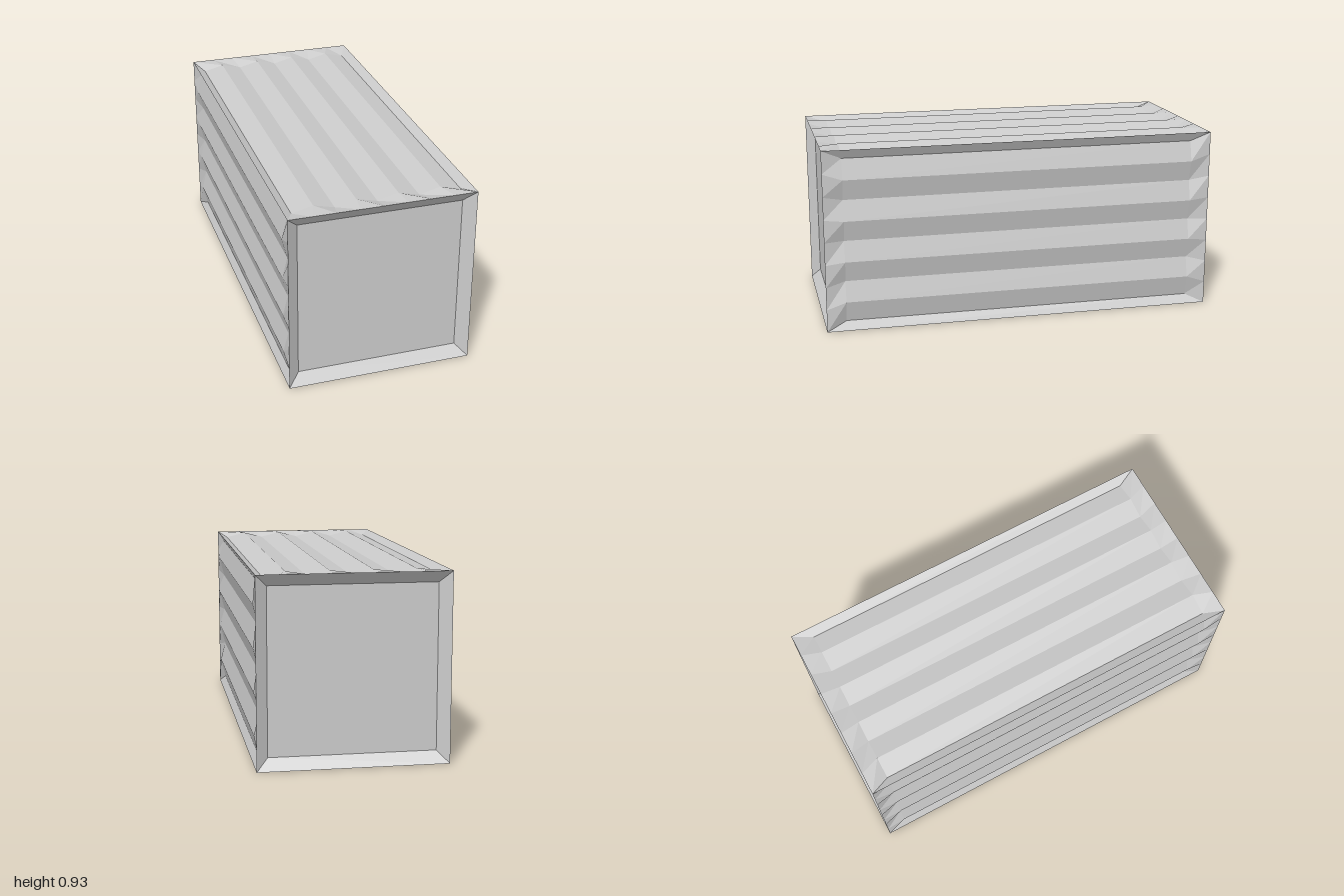
import * as THREE from 'three';

const H = 0.4625; // half of the square cross-section
const L = 1;      // half of the length
const material = new THREE.MeshStandardMaterial({ color: 0xcccccc, flatShading: true });

// Recessed panel facing +y: straight outer rim, sloped border, inner field folded into strips.
function panelGeometry({ halfLength, height, strips, insetX, insetZ, depth, ridge }) {
  const point = (col, row) => {
    const endRow = row === 0 || row === 3;
    const rim = endRow || col === 0 || col === strips + 2;
    const k = THREE.MathUtils.clamp(col - 1, 0, strips);
    const halfX = rim ? H : H - insetX;
    const halfZ = endRow ? halfLength : rim ? halfLength : halfLength - insetZ;
    const y = rim ? height : k % 2 && k < strips ? height + ridge : height - depth;
    return [(2 * k / strips - 1) * halfX, y, (row < 2 ? -1 : 1) * halfZ];
  };
  const positions = [];
  const same = (a, b) => a.every((v, i) => v === b[i]);
  const triangle = (a, b, c) => {
    if (!same(a, b) && !same(b, c) && !same(a, c)) positions.push(...a, ...b, ...c);
  };
  for (let row = 0; row < 3; row++) {
    for (let col = 0; col < strips + 2; col++) {
      const a = point(col, row), b = point(col, row + 1);
      const c = point(col + 1, row + 1), d = point(col + 1, row);
      triangle(a, b, c);
      triangle(a, c, d);
    }
  }
  const geometry = new THREE.BufferGeometry();
  geometry.setAttribute('position', new THREE.Float32BufferAttribute(positions, 3));
  geometry.computeVertexNormals();
  return geometry;
}

export function createModel() {
  const group = new THREE.Group();
  group.name = 'cargoContainer';

  const add = (name, geometry, rx, rz) => {
    const mesh = new THREE.Mesh(geometry, material);
    mesh.name = name;
    mesh.rotation.set(rx, 0, rz);
    mesh.position.y = H;
    group.add(mesh);
  };

  // Corrugated long walls, turned around the length axis
  const wall = panelGeometry({
    halfLength: L, height: H, strips: 8, insetX: 0.046, insetZ: 0.1, depth: 0.025, ridge: 0.001,
  });
  ['roof', 'rightWall', 'floor', 'leftWall'].forEach((name, i) => add(name, wall, 0, i * Math.PI / 2));

  // Flat recessed ends
  const end = panelGeometry({
    halfLength: H, height: L, strips: 1, insetX: 0.057, insetZ: 0.057, depth: 0.045, ridge: 0,
  });
  add('frontEnd', end, Math.PI / 2, 0);
  add('backEnd', end, -Math.PI / 2, 0);

  return group;
}
